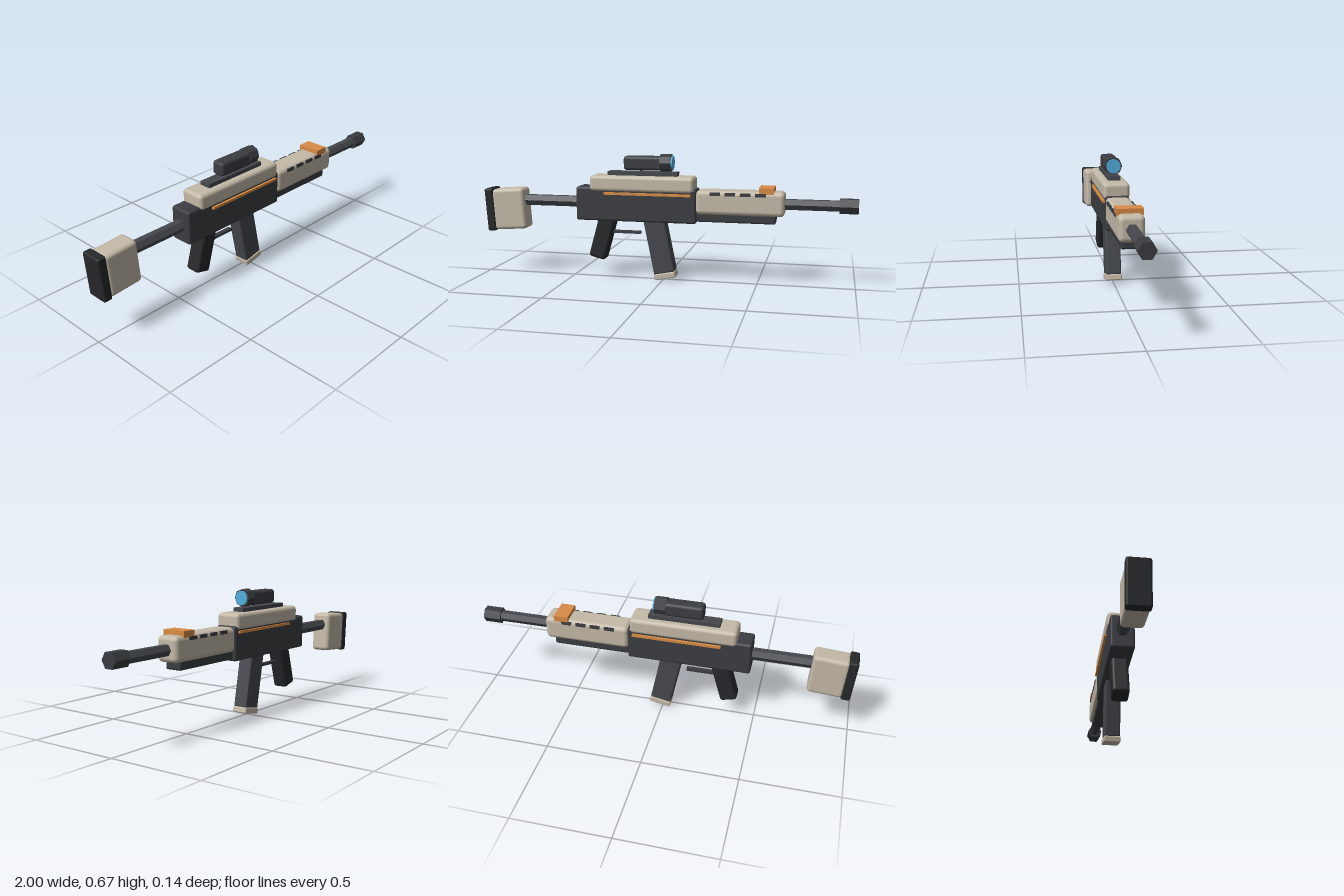
import * as THREE from 'three';
import { RoundedBoxGeometry } from 'three/addons/geometries/RoundedBoxGeometry.js';

const material = (color, flatShading = false) => new THREE.MeshStandardMaterial({ color, flatShading });
const GUNMETAL = 0x3b3d42, STEEL = 0x46484e, RUBBER = 0x27282b, TAN = 0xc4baa8, ORANGE = 0xd98c45, GLASS = 0x52b0e0;

export function createModel() {
  const group = new THREE.Group();

  const add = (name, geometry, color, x, y, z = 0, tilt = 0, flat = false) => {
    const mesh = new THREE.Mesh(geometry, material(color, flat));
    mesh.name = name;
    mesh.position.set(x, y, z);
    mesh.rotation.z = tilt;
    group.add(mesh);
  };
  // Soft-edged block: size, bevel radius, centre, tilt
  const block = (name, color, [w, h, d], r, x, y, tilt = 0) =>
    add(name, new RoundedBoxGeometry(w, h, d, 2, r), color, x, y, 0, tilt);
  // Sharp-edged block
  const box = (name, color, [w, h, d], x, y, z = 0) =>
    add(name, new THREE.BoxGeometry(w, h, d), color, x, y, z);
  // Faceted rod lying along x
  const rod = (name, color, r, x0, x1, y, sides) =>
    add(name, new THREE.CylinderGeometry(r, r, x1 - x0, sides).rotateZ(-Math.PI / 2),
      color, (x0 + x1) / 2, y, 0, 0, true);

  // Body
  block('receiver', GUNMETAL, [0.65, 0.18, 0.12], 0.012, -0.142, 0.405);
  block('topCover', TAN, [0.56, 0.085, 0.134], 0.02, -0.11, 0.515);
  box('topRail', STEEL, [0.374, 0.026, 0.062], -0.11, 0.565);
  for (const side of [1, -1])
    box(side > 0 ? 'leftStripe' : 'rightStripe', ORANGE, [0.465, 0.013, 0.016], -0.077, 0.464, side * 0.064);

  // Forend with vent slots and front sight
  block('handguard', TAN, [0.457, 0.127, 0.123], 0.024, 0.408, 0.429);
  block('lowerRail', GUNMETAL, [0.41, 0.05, 0.092], 0.01, 0.387, 0.351);
  for (let i = 0; i < 4; i++)
    for (const side of [1, -1])
      box('ventSlot', GUNMETAL, [0.054, 0.017, 0.02], 0.281 + i * 0.078, 0.476, side * 0.054);
  box('frontSight', ORANGE, [0.076, 0.032, 0.126], 0.544, 0.498);

  // Barrel
  rod('barrel', STEEL, 0.03, 0.6, 0.92, 0.427, 6);
  rod('muzzle', GUNMETAL, 0.042, 0.906, 1, 0.427, 6);

  // Scope
  block('scopeBody', GUNMETAL, [0.21, 0.074, 0.074], 0.016, -0.106, 0.623);
  rod('scopeBell', GUNMETAL, 0.046, -0.016, 0.045, 0.627, 8);
  rod('scopeLens', GLASS, 0.037, 0.03, 0.052, 0.627, 24);

  // Stock
  rod('stockTube', STEEL, 0.032, -0.8, -0.45, 0.408, 6);
  block('stock', TAN, [0.185, 0.225, 0.11], 0.02, -0.859, 0.358, 0.07);
  block('buttPad', RUBBER, [0.048, 0.235, 0.114], 0.01, -0.967, 0.352, 0.07);

  // Grip, trigger bar and magazine
  block('pistolGrip', RUBBER, [0.092, 0.27, 0.084], 0.016, -0.328, 0.236, -0.27);
  box('triggerBar', GUNMETAL, [0.15, 0.014, 0.024], -0.2, 0.25);
  block('magazine', STEEL, [0.112, 0.31, 0.08], 0.008, -0.02, 0.192, 0.2);
  block('magazineCap', TAN, [0.115, 0.032, 0.086], 0.006, 0.013, 0.026, 0.2);

  return group;
}
